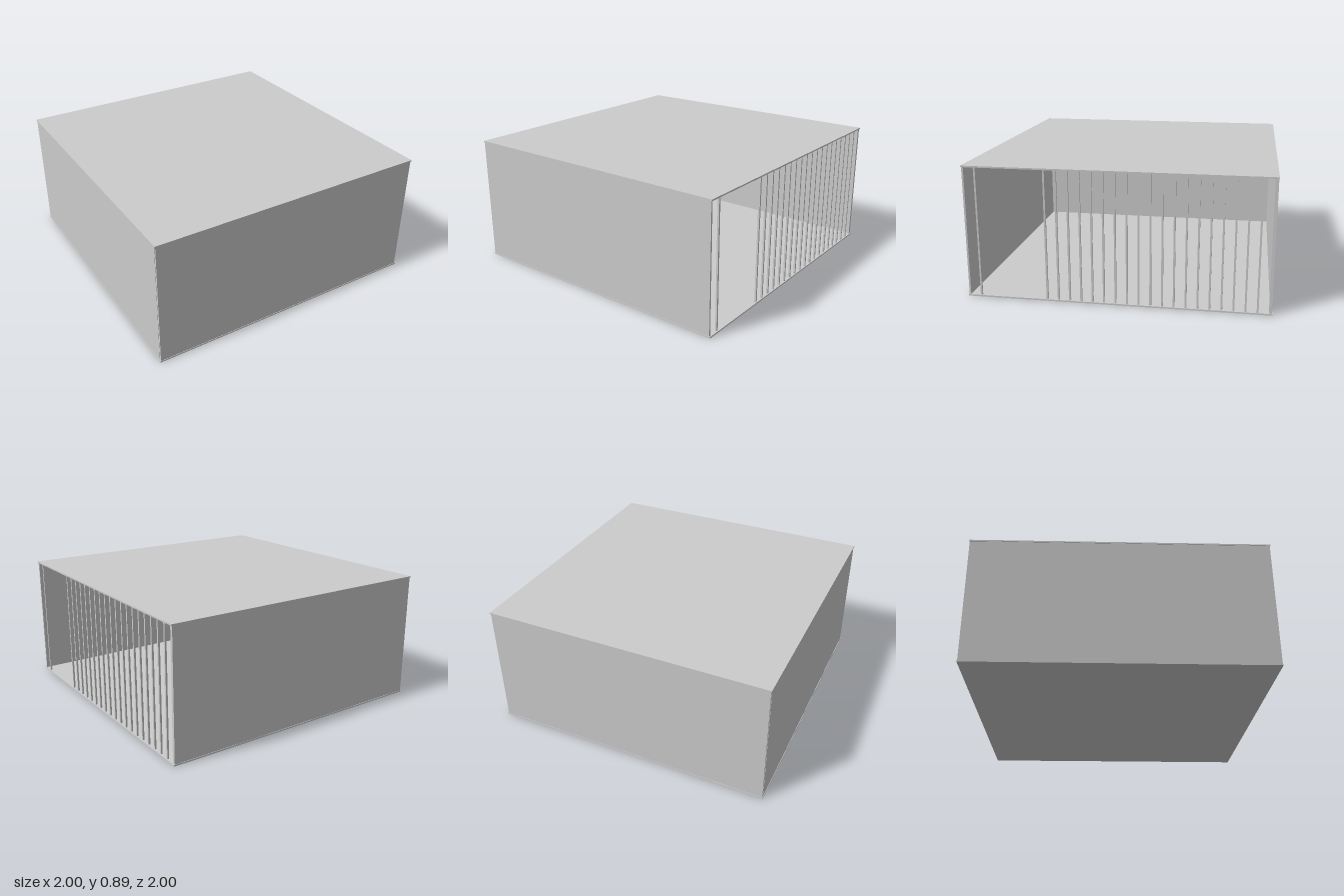
import * as THREE from 'three';

export function createModel() {
  const model = new THREE.Group();
  const material = new THREE.MeshStandardMaterial({ color: 0xcccccc });

  // Box given by its minimum and maximum corners
  function addBox(name, [x0, y0, z0], [x1, y1, z1], parent = model) {
    const mesh = new THREE.Mesh(new THREE.BoxGeometry(x1 - x0, y1 - y0, z1 - z0), material);
    mesh.position.set((x0 + x1) / 2, (y0 + y1) / 2, (z0 + z1) / 2);
    mesh.name = name;
    parent.add(mesh);
  }

  const height = 0.89, slab = 0.01;
  const low = slab, high = height - slab;
  const outer = 0.995, inner = 0.985;

  // Floor and ceiling slabs
  addBox('floor', [-1, 0, -1], [1, low, 1]);
  addBox('ceiling', [-1, high, -1], [1, height, 1]);

  // Three solid walls, slightly inside the slab edges
  addBox('frontWall', [-outer, low, inner], [0.993, high, 0.997]);
  addBox('backWall', [-outer, low, -0.997], [0.993, high, -inner]);
  addBox('sideWall', [-0.997, low, -inner], [-inner, high, inner]);

  // Open side: evenly spaced bars with a doorway gap
  const bars = new THREE.Group();
  bars.name = 'bars';
  model.add(bars);
  const spacing = 0.0758, half = 0.006;
  for (let i = 1; i <= 26; i++) {
    if (i > 1 && i < 7) continue; // doorway
    const z = 0.988 - i * spacing;
    addBox('bar', [0.981, low, z - half], [0.993, high, z + half], bars);
  }

  return model;
}
